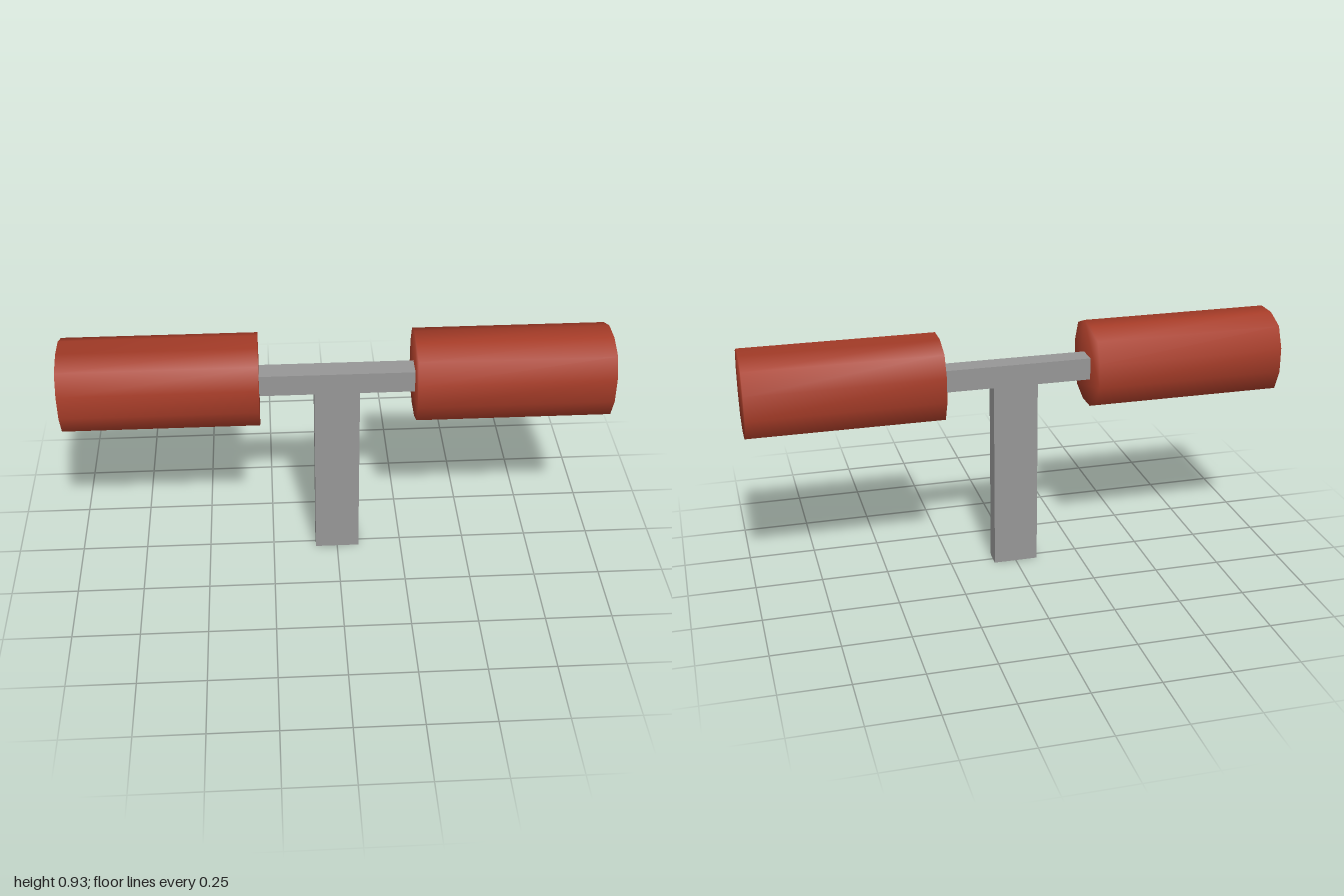
import * as THREE from 'three';
import { mergeVertices } from 'three/addons/utils/BufferGeometryUtils.js';

const red = new THREE.MeshStandardMaterial({ name: 'brick red', color: 0xa63c28 });
const grey = new THREE.MeshStandardMaterial({ name: 'grey', color: 0x969696 });

const INNER = 0.285, OUTER = 1, CENTRE_Y = 0.777;

function box(name, w, h, d, y) {
  const mesh = new THREE.Mesh(new THREE.BoxGeometry(w, h, d), grey);
  mesh.name = name;
  mesh.position.y = y;
  return mesh;
}

// Twelve-sided roller lying along x, smooth over its shared edges
function rollerGeometry() {
  const quarter = [[0.155, 0.046], [0.121, 0.124], [0.043, 0.156]];
  const half = [...quarter, ...quarter.map(([x, y]) => [-x, y]).reverse()];
  const outline = [...half, ...half.map(([x, y]) => [-x, -y])];
  const shape = new THREE.Shape(outline.map(([x, y]) => new THREE.Vector2(x, y)));
  const length = OUTER - INNER;
  const solid = new THREE.ExtrudeGeometry(shape, { depth: length, bevelEnabled: false });
  solid.translate(0, 0, -length / 2).rotateY(Math.PI / 2);
  solid.deleteAttribute('uv');
  solid.deleteAttribute('normal');
  solid.clearGroups();
  const geometry = mergeVertices(solid, 1e-4);
  geometry.computeVertexNormals();
  return geometry;
}

export function createModel() {
  const model = new THREE.Group();
  model.name = 'twinRollerStand';

  // Upright post and crossbar
  model.add(box('post', 0.168, 0.73, 0.068, 0.365));
  model.add(box('crossbar', INNER * 2, 0.083, 0.082, 0.768));

  // A roller at each end of the crossbar
  const geometry = rollerGeometry();
  for (const side of [1, -1]) {
    const roller = new THREE.Mesh(geometry, red);
    roller.name = side > 0 ? 'leftRoller' : 'rightRoller';
    roller.position.set(side * (INNER + OUTER) / 2, CENTRE_Y, 0);
    if (side < 0) roller.rotation.y = Math.PI;
    model.add(roller);
  }
  return model;
}
